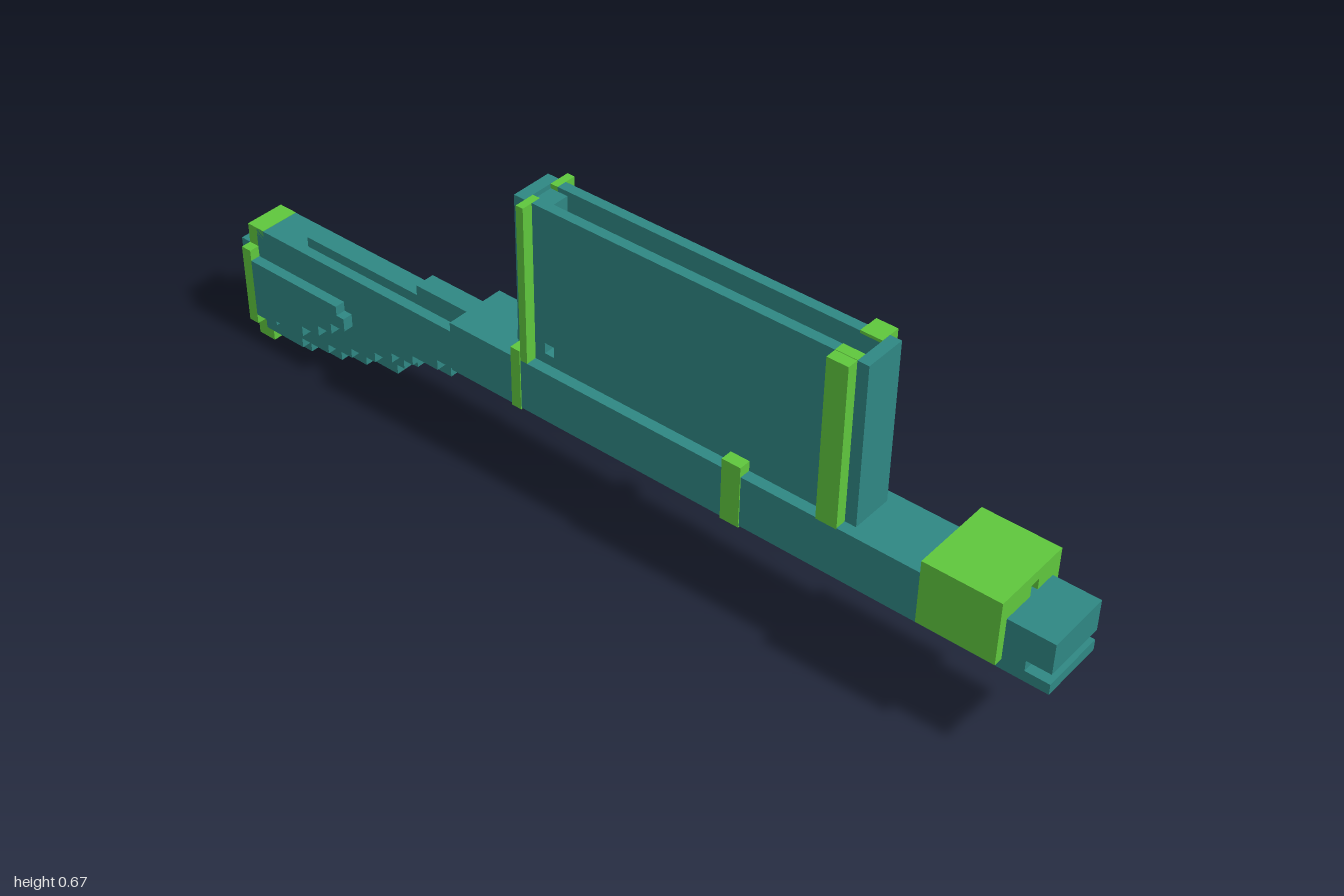
import * as THREE from 'three';

const mat = (name, color) => Object.assign(new THREE.MeshStandardMaterial({ color }), { name });

export function createModel() {
  const teal = mat('teal', 0x2f8783);
  const green = mat('green', 0x5fc63d);
  const brown = mat('brown', 0x84482f);
  const mauve = mat('mauve', 0x64525a);
  const model = new THREE.Group();

  const add = (name, geometry, material, parent = model) => {
    const m = new THREE.Mesh(geometry, material);
    m.name = name;
    parent.add(m);
    return m;
  };
  const box = (name, material, x0, x1, y0, y1, z0, z1) =>
    add(name, new THREE.BoxGeometry(x1 - x0, y1 - y0, z1 - z0)
      .translate((x0 + x1) / 2, (y0 + y1) / 2, (z0 + z1) / 2), material);
  // a side outline with optional rectangular holes, extruded from z0 to z1
  const rect = (x0, x1, y0, y1) => [[x0, y0], [x1, y0], [x1, y1], [x0, y1]];
  const path = (P, points) => new P(points.map(p => new THREE.Vector2(...p)));
  const slab = (name, material, points, z0, z1, holes = []) => {
    const shape = path(THREE.Shape, points);
    shape.holes = holes.map(h => path(THREE.Path, rect(...h)));
    return add(name, new THREE.ExtrudeGeometry(shape, { depth: z1 - z0, bevelEnabled: false })
      .translate(0, 0, z0), material);
  };
  // turn [xEnd, y] levels into a staircase starting at x
  const stairs = (x, levels) => levels.flatMap(([end, y]) => {
    const run = [[x, y], [end, y]];
    x = end;
    return run;
  });
  const outline = (x, bottom, top) => [...stairs(x, bottom), ...stairs(x, top).reverse()];

  // long body, with a small recess on its back side and a slot in the tip
  slab('body', teal, rect(-0.355, 0.95, 0.21, 0.323), -0.045, 0.07);
  slab('bodyBackPlate', teal, rect(-0.355, 0.95, 0.21, 0.323), -0.07, -0.045,
    [[0.17, 0.235, 0.235, 0.3]]);
  box('recessPeg', teal, 0.185, 0.21, 0.255, 0.28, -0.09, -0.045);
  box('tipLower', teal, 0.95, 1, 0.21, 0.233, -0.07, 0.07);
  box('tipUpper', teal, 0.95, 1, 0.256, 0.323, -0.07, 0.07);
  box('rearStep', teal, -0.222, -0.2, 0.32, 0.345, -0.023, 0.023);

  // block near the tip, with a small tunnel along x
  const block = slab('tipBlock', green, rect(-0.09, 0.09, 0.232, 0.37), 0.745, 0.905,
    [[0, 0.023, 0.323, 0.347]]);
  block.rotation.y = Math.PI / 2;

  // bands round the body
  for (const [x0, x1] of [[-0.195, -0.172], [0.31, 0.352]]) {
    box('bandBottom', green, x0, x1, 0.207, 0.214, -0.072, 0.072);
    for (const s of [-1, 1]) {
      const [a, b] = [s * 0.045, s * 0.072].sort((p, q) => p - q);
      box('bandSide', green, x0, x1, 0.207, 0.345, a, b);
    }
  }

  // tall hollow case: two walls, end posts and green side ribs
  for (const s of [-1, 1]) {
    const span = (a, b) => [s * a, s * b].sort((p, q) => p - q);
    slab('caseWall', teal, rect(-0.155, 0.56, 0.32, 0.67), ...span(0.024, 0.046),
      [[-0.131, -0.108, 0.346, 0.37]]);
    box('rearRib', green, -0.172, -0.155, 0.32, 0.67, ...span(0.024, 0.07));
    box('frontRib', green, 0.515, 0.56, 0.32, 0.67, ...span(0.046, 0.07));
    box('frontRibTop', green, 0.515, 0.56, 0.665, 0.671, ...span(0.024, 0.046));
  }
  box('caseRear', teal, -0.198, -0.172, 0.32, 0.67, -0.046, 0.046);
  box('caseRearInner', teal, -0.172, -0.132, 0.32, 0.66, -0.024, 0.024);
  box('caseFront', teal, 0.56, 0.584, 0.32, 0.67, -0.046, 0.046);

  // contents lying at the bottom of the case
  box('contentsTip', mauve, -0.13, -0.02, 0.32, 0.335, -0.024, 0.024);
  box('contentsMiddle', brown, -0.02, 0.47, 0.32, 0.34, -0.024, 0.024);
  box('contentsRidge', brown, -0.11, -0.02, 0.32, 0.343, -0.012, 0.012);
  box('contentsEnd', mauve, 0.47, 0.56, 0.32, 0.335, -0.024, 0.024);

  // stock: a narrow core, a wider layer and raised cheeks
  const core = outline(-0.91,
    [[-0.82, 0], [-0.727, 0.023], [-0.652, 0.047], [-0.56, 0.07], [-0.54, 0.093],
      [-0.5, 0.117], [-0.406, 0.14], [-0.337, 0.163], [-0.267, 0.187], [-0.25, 0.21]],
    [[-0.8, 0.277], [-0.49, 0.3], [-0.25, 0.323]]);
  slab('stockCore', teal, core, -0.023, 0.023);
  const layer = outline(-0.93,
    [[-0.82, 0.024], [-0.74, 0.047], [-0.67, 0.07], [-0.6, 0.093], [-0.55, 0.117],
      [-0.49, 0.14], [-0.42, 0.163], [-0.355, 0.187], [-0.31, 0.209]],
    [[-0.355, 0.277], [-0.31, 0.3]]);
  slab('stockLayer', teal, layer, -0.046, 0.046);
  const leftCheek = outline(-0.93,
    [[-0.87, 0.07], [-0.79, 0.08], [-0.74, 0.105], [-0.7, 0.13], [-0.66, 0.155]],
    [[-0.68, 0.207], [-0.66, 0.185]]);
  slab('frontCheek', teal, leftCheek, 0.046, 0.069);
  const rightCheek = outline(-0.93,
    [[-0.8, 0.047], [-0.73, 0.075], [-0.66, 0.1], [-0.6, 0.14], [-0.55, 0.17]],
    [[-0.62, 0.22], [-0.55, 0.2]]);
  slab('backCheek', teal, rightCheek, -0.069, -0.046);

  // end plate of the stock
  box('endBandTop', green, -0.955, -0.91, 0.232, 0.278, -0.046, 0.046);
  box('endBandBottom', green, -0.955, -0.91, 0, 0.047, -0.046, 0.046);
  box('endBandMiddle', green, -0.955, -0.93, 0.047, 0.232, -0.069, 0.069);
  box('buttPlate', teal, -0.98, -0.955, 0.047, 0.232, -0.046, 0.046);
  box('buttPad', teal, -1, -0.98, 0.095, 0.187, -0.023, 0.023);

  return model;
}
